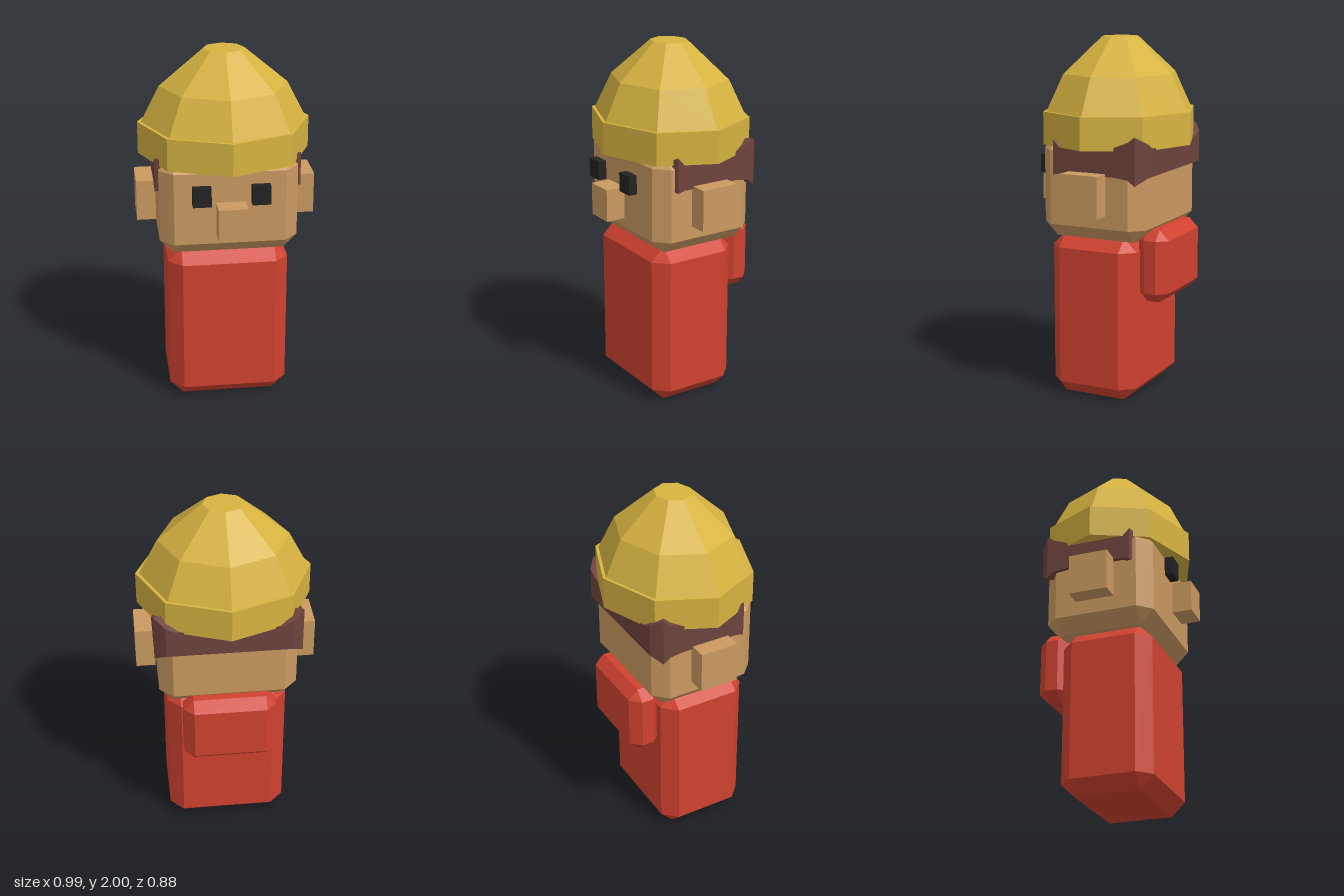
import * as THREE from 'three';
import { ConvexGeometry } from 'three/addons/geometries/ConvexGeometry.js';

function material(name, color) {
  const m = new THREE.MeshStandardMaterial({ color, flatShading: true });
  m.name = name;
  return m;
}

// Box between two corners, with every edge cut by c
function chamferBox(min, max, c) {
  const points = [];
  for (let corner = 0; corner < 8; corner++) {
    for (let full = 0; full < 3; full++) {
      const p = [0, 1, 2].map((axis) => {
        const inset = axis === full ? 0 : c;
        return corner & (1 << axis) ? max[axis] - inset : min[axis] + inset;
      });
      points.push(new THREE.Vector3(...p));
    }
  }
  return new ConvexGeometry(points);
}

function plainBox(min, max) {
  const size = max.map((v, i) => v - min[i]);
  const mid = max.map((v, i) => (v + min[i]) / 2);
  return new THREE.BoxGeometry(...size).translate(...mid);
}

// Hair band: mirrored outline whose corners flare up and down
function hairBand() {
  // x, z, bottom, top
  const half = [
    [0.36, 0.21, 1.28, 1.45], [0.40, 0.19, 1.27, 1.46], [0.40, 0.15, 1.28, 1.42],
    [0.40, -0.18, 1.28, 1.44], [0.40, -0.26, 1.27, 1.47], [0.40, -0.30, 1.24, 1.50],
    [0.34, -0.35, 1.28, 1.46], [0.28, -0.35, 1.28, 1.43],
  ];
  const ring = [...half, ...half.slice().reverse().map(([x, z, b, t]) => [-x, z, b, t])];
  const pos = [];
  const bottomMid = [0, -0.07, 1.28], topMid = [0, -0.07, 1.43];
  const tri = (...pts) => pts.forEach((p) => pos.push(p[0], p[2], p[1]));
  ring.forEach((a, i) => {
    const b = ring[(i + 1) % ring.length];
    const aLow = [a[0], a[1], a[2]], aHigh = [a[0], a[1], a[3]];
    const bLow = [b[0], b[1], b[2]], bHigh = [b[0], b[1], b[3]];
    tri(aLow, bLow, bHigh);
    tri(aLow, bHigh, aHigh);
    tri(topMid, aHigh, bHigh);
    tri(bottomMid, bLow, aLow);
  });
  const g = new THREE.BufferGeometry();
  g.setAttribute('position', new THREE.Float32BufferAttribute(pos, 3));
  g.computeVertexNormals();
  return g;
}

export function createModel() {
  const model = new THREE.Group();
  model.name = 'figure';
  const yellow = material('hat yellow', 0xd6b340);
  const skin = material('skin tan', 0xca9a60);
  const red = material('coat red', 0xd04230);
  const brown = material('hair brown', 0x6e433d);
  const black = material('eye black', 0x222222);

  const add = (name, geometry, mat) => {
    const mesh = new THREE.Mesh(geometry, mat);
    mesh.name = name;
    model.add(mesh);
    return mesh;
  };

  // Coat and hood
  add('body', chamferBox([-0.335, 0, -0.245], [0.335, 0.925, 0.27], 0.075), red);
  add('hood', chamferBox([-0.255, 0.57, -0.41], [0.255, 0.975, -0.23], 0.055), red);

  // Head and face
  add('head', chamferBox([-0.38, 0.915, -0.325], [0.38, 1.475, 0.295], 0.075), skin);
  add('nose', plainBox([-0.08, 1.065, 0.33], [0.08, 1.245, 0.44]), skin);
  for (const [side, s] of [['left', 1], ['right', -1]]) {
    const ear = plainBox([-0.0525, 1.065, -0.125], [0.0525, 1.295, 0.095]);
    add(side + 'Ear', ear, skin).position.x = s * 0.4425;
    const eye = plainBox([-0.05, 1.24, 0.33], [0.05, 1.345, 0.378]);
    add(side + 'Eye', eye, black).position.x = s * 0.16;
  }

  add('hair', hairBand(), brown);

  // Eight-sided hat with a small ledge above its brim
  const profile = [[0, 1.42], [0.475, 1.42], [0.475, 1.6], [0.455, 1.6],
    [0.352, 1.8], [0.113, 2], [0, 2]].map(([r, y]) => new THREE.Vector2(r, y));
  const hat = add('hat', new THREE.LatheGeometry(profile, 8), yellow);
  hat.scale.z = 0.425 / 0.475;
  hat.position.z = -0.015;

  return model;
}
